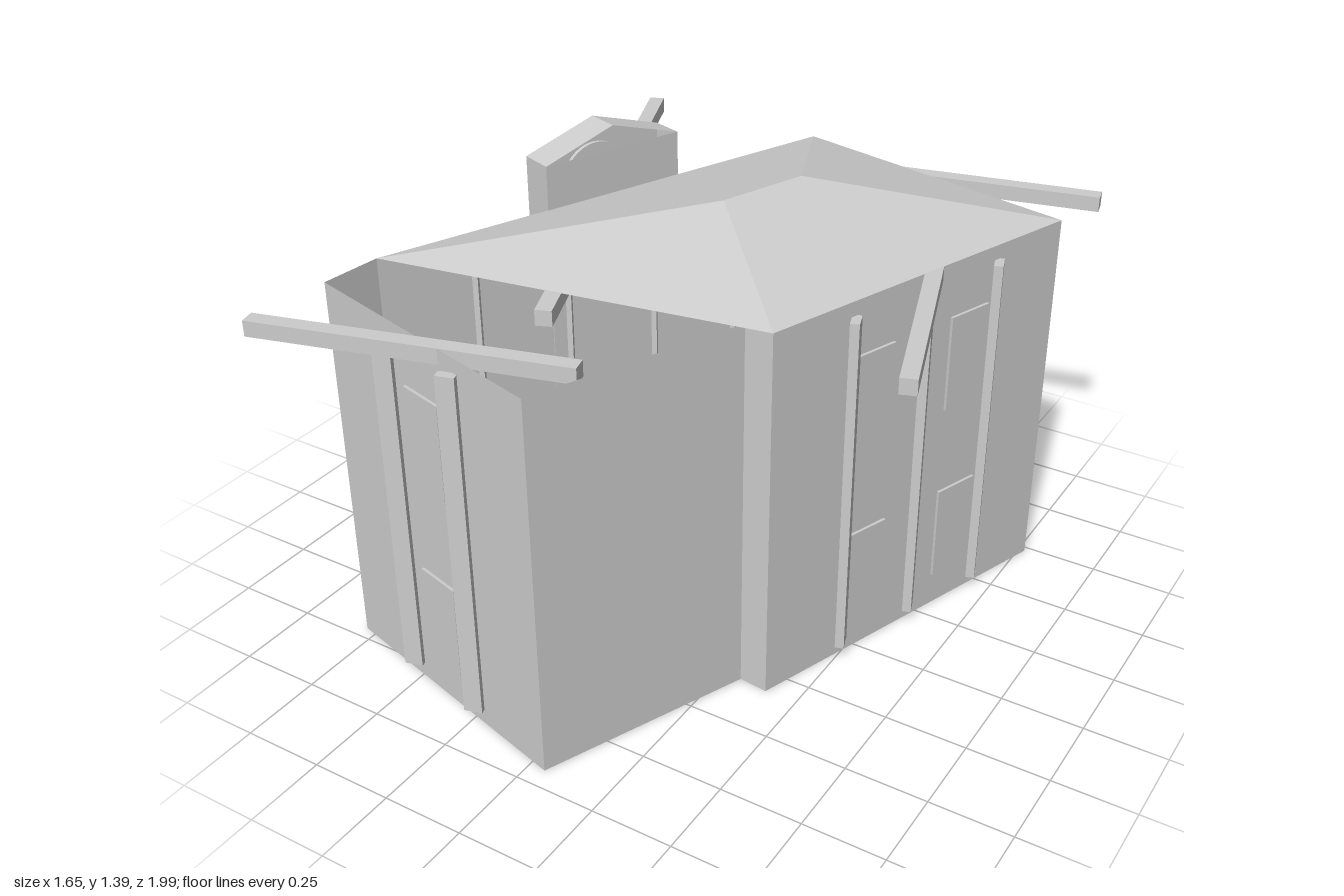
import * as THREE from 'three';

const grey = new THREE.MeshStandardMaterial({ color: 0xcccccc });
grey.name = 'plaster grey';
grey.side = THREE.DoubleSide;

// Flat convex polygons, each a list of [x, y, z] corners, as one mesh
function polygons(name, faces) {
  const pos = [];
  for (const f of faces)
    for (let i = 1; i < f.length - 1; i++) pos.push(...f[0], ...f[i], ...f[i + 1]);
  const g = new THREE.BufferGeometry();
  g.setAttribute('position', new THREE.Float32BufferAttribute(pos, 3));
  g.computeVertexNormals();
  const m = new THREE.Mesh(g, grey);
  m.name = name;
  return m;
}

function box(name, w, h, d, x, y, z, turn) {
  const m = new THREE.Mesh(new THREE.BoxGeometry(w, h, d), grey);
  m.name = name;
  m.position.set(x, y, z);
  m.rotation.y = turn;
  return m;
}

const upright = (a, b, y0, y1) => [
  [a[0], y0, a[1]], [b[0], y0, b[1]], [b[0], y1, b[1]], [a[0], y1, a[1]],
];

export function createModel() {
  const model = new THREE.Group();
  model.name = 'house';
  const H = 1.18;

  // Thin walls round an irregular plan, open above the front bay and below
  const plan = [
    [-0.79, 0.71], [0.05, 0.94], [0.31, 0.32], [0.4, 0.33],
    [0.77, -0.73], [-0.17, -0.94], [-0.77, 0.52],
  ];
  model.add(polygons('walls', plan.map((p, i) => upright(p, plan[(i + 1) % plan.length], 0, H))));

  // Hipped roof over the main block
  const [rf, rb] = [[0.01, 1.315, -0.07], [0.11, 1.315, -0.34]];
  const [fr, br, bl, fl] = [3, 4, 5, 6].map((i) => [plan[i][0], H, plan[i][1]]);
  model.add(polygons('roof', [[fl, fr, rf], [fr, br, rb, rf], [br, bl, rb], [bl, fl, rf, rb]]));

  // Timber posts, top beam and windows on each decorated wall
  const dressed = [
    ['front', 0, 2], ['left', 3, 3], ['back', 4, 2], ['right', 5, 4],
  ];
  for (const [side, i, posts] of dressed) {
    const a = plan[i], b = plan[(i + 1) % plan.length];
    const dx = b[0] - a[0], dz = b[1] - a[1], len = Math.hypot(dx, dz);
    const nx = -dz / len, nz = dx / len;
    const along = Math.atan2(-dz, dx);
    const at = (t, out) => [a[0] + dx * t + nx * out, a[1] + dz * t + nz * out];
    const g = new THREE.Group();
    g.name = side + 'Timbers';
    // The timbers are turned the opposite way to the wall
    let [x, z] = at(0.5, 0.024);
    g.add(box('beam', len + 0.055, 0.047, 0.048, x, 1.157, z, -along));
    for (let k = 1; k <= posts; k++) {
      [x, z] = at(k / (posts + 1), 0.017);
      g.add(box('post', 0.055, 1.085, 0.027, x, 0.5925, z, -along));
    }
    for (let k = 1; k < posts; k++) {
      [x, z] = at(k / posts, 0.005);
      for (const y of [0.265, 0.855]) g.add(box('window', 0.15, 0.305, 0.009, x, y, z, along));
    }
    model.add(g);
  }

  // Gabled clock tower against the wall, its gable open on the inner side
  const oF = [-0.653, -0.034], oB = [-0.473, -0.468], iF = [-0.553, 0.003], iB = [-0.377, -0.437];
  const E = 1.32, P = 1.395;
  const peak = (p, q) => [(p[0] + q[0]) / 2, P, (p[1] + q[1]) / 2];
  const eave = (p) => [p[0], E, p[1]];
  const oP = peak(oF, oB), iP = peak(iF, iB);
  const tower = new THREE.Group();
  tower.name = 'clockTower';
  tower.add(
    polygons('towerWalls', [
      upright(oF, iF, 0, E),
      upright(iB, oB, 0, E),
      upright(iF, iB, 1.17, E),
      [...upright(oB, oF, 0, E).slice(0, 3), oP, eave(oB)],
    ]),
    polygons('towerRoof', [
      [eave(oF), eave(iF), iP, oP],
      [eave(iB), eave(oB), oP, iP],
    ]),
  );

  // Round clock face on the outer side
  const disc = new THREE.Mesh(new THREE.CylinderGeometry(0.113, 0.113, 0.03, 32), grey);
  disc.name = 'clockFace';
  const out = new THREE.Vector3(-0.434, 0, -0.18).normalize();
  disc.quaternion.setFromUnitVectors(new THREE.Vector3(0, 1, 0), out);
  disc.position.set(oP[0], 1.2, oP[2]).addScaledVector(out, 0.003);
  tower.add(disc);
  model.add(tower);

  return model;
}
